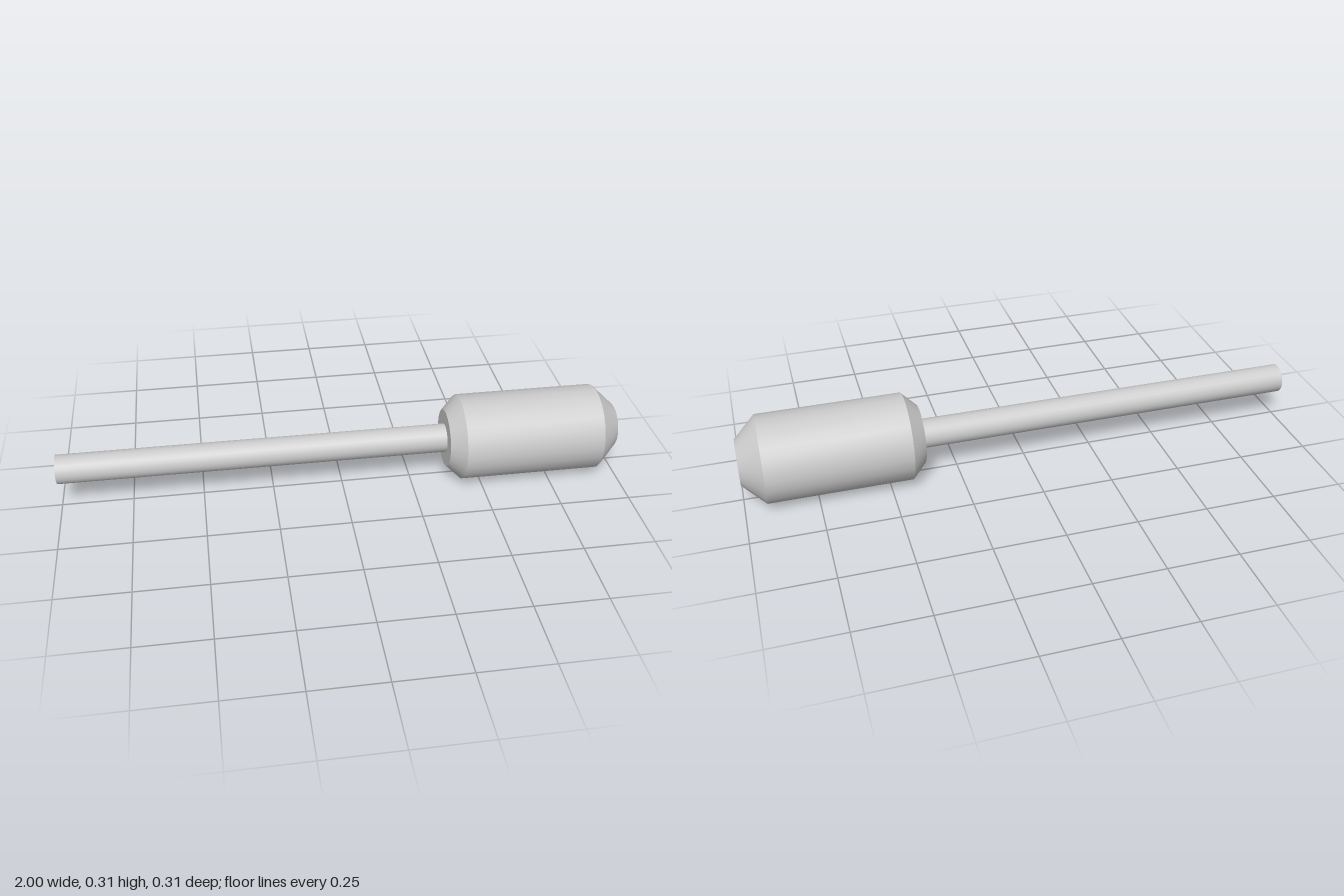
import * as THREE from 'three';
import { toCreasedNormals } from 'three/addons/utils/BufferGeometryUtils.js';

const RADIUS = 0.1535;
const SEGMENTS = 24;

// Turned part along the x axis; profile holds [x, radius] pairs from -x to +x
function turned(name, profile, material) {
  const points = profile.map(([x, r]) => new THREE.Vector2(r, x));
  const lathe = new THREE.LatheGeometry(points, SEGMENTS);
  const geometry = toCreasedNormals(lathe, Math.PI / 6);
  geometry.rotateZ(-Math.PI / 2);
  const mesh = new THREE.Mesh(geometry, material);
  mesh.name = name;
  mesh.position.y = RADIUS;
  return mesh;
}

export function createModel() {
  const group = new THREE.Group();
  group.name = 'chamferedPin';
  const material = new THREE.MeshStandardMaterial({ color: 0xcccccc });

  // Thin rod, seated just inside the head
  group.add(turned('rod', [
    [-1, 0], [-1, 0.0515], [0.38, 0.0515], [0.38, 0],
  ], material));

  // Thick head with a small rear chamfer and a larger front chamfer
  group.add(turned('head', [
    [0.375, 0], [0.375, 0.1035], [0.425, RADIUS],
    [0.924, RADIUS], [1, 0.079], [1, 0],
  ], material));

  return group;
}
